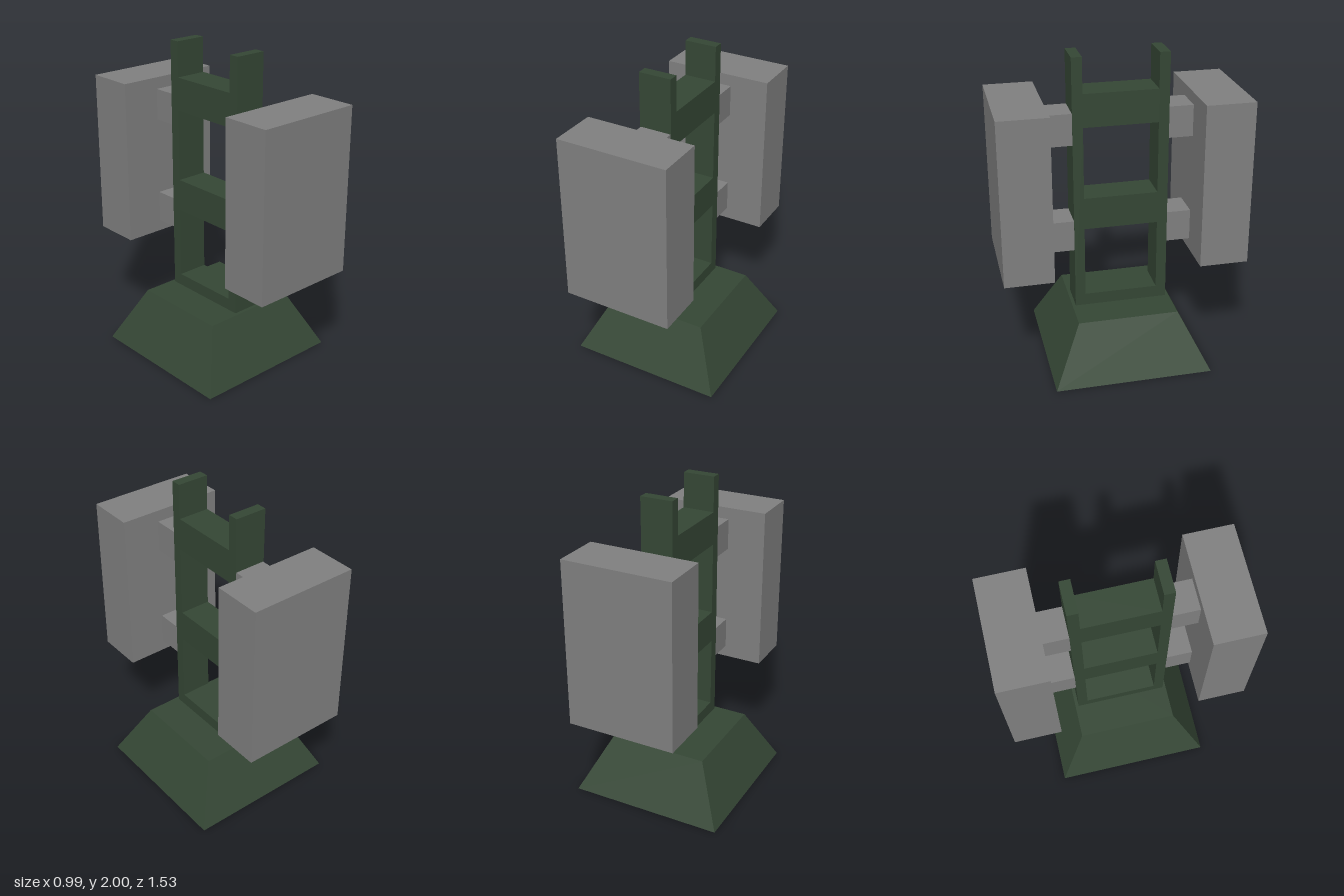
import * as THREE from 'three';

export function createModel() {
  const model = new THREE.Group();
  const green = new THREE.MeshStandardMaterial({ color: 0x354735 });
  green.name = 'darkGreen';
  const grey = new THREE.MeshStandardMaterial({ color: 0x808080 });
  grey.name = 'grey';

  const add = (name, geometry, material) => {
    const mesh = new THREE.Mesh(geometry, material);
    mesh.name = name;
    model.add(mesh);
    return mesh;
  };
  // Box from its lower and upper limits on each axis
  const block = (name, material, [x0, x1], [y0, y1], [z0, z1]) =>
    add(name, new THREE.BoxGeometry(x1 - x0, y1 - y0, z1 - z0), material)
      .position.set((x0 + x1) / 2, (y0 + y1) / 2, (z0 + z1) / 2);

  // Tapered base: a box with its top corners drawn inward
  const base = new THREE.BoxGeometry(0.994, 0.36, 0.996);
  const p = base.attributes.position;
  for (let i = 0; i < p.count; i++) {
    if (p.getY(i) > 0) p.setXYZ(i, Math.sign(p.getX(i)) * 0.319, 0.18, Math.sign(p.getZ(i)) * 0.319);
  }
  base.computeVertexNormals();
  add('base', base, green).position.set(0, 0.18, -0.008);

  // Upright frame: side outline (along -z, y) with two openings and an open top
  const outline = [[-0.29, 0.36], [0.305, 0.36], [0.305, 2], [0.24, 2],
    [0.24, 1.777], [-0.225, 1.777], [-0.225, 2], [-0.29, 2]];
  const frame = new THREE.Shape(outline.map(([s, y]) => new THREE.Vector2(s, y)));
  for (const [y0, y1] of [[0.438, 0.9], [1.107, 1.567]]) {
    const opening = [[-0.225, y0], [-0.225, y1], [0.24, y1], [0.24, y0]];
    frame.holes.push(new THREE.Path(opening.map(([s, y]) => new THREE.Vector2(s, y))));
  }
  const frameGeometry = new THREE.ExtrudeGeometry(frame, { depth: 0.205, bevelEnabled: false });
  frameGeometry.rotateY(Math.PI / 2).translate(-0.105, 0, 0);
  add('uprightFrame', frameGeometry, green);

  // Front and back panels, each on two brackets
  const sides = [
    { name: 'front', panel: [0.457, 0.765], bracket: [0.29, 0.457] },
    { name: 'back', panel: [-0.765, -0.457], bracket: [-0.457, -0.305] },
  ];
  for (const { name, panel, bracket } of sides) {
    block(name + 'Panel', grey, [-0.348, 0.346], [0.685, 1.735], panel);
    for (const y of [0.76, 1.46]) {
      block(name + 'Bracket', grey, [-0.1, 0.098], [y, y + 0.2], bracket);
    }
  }
  return model;
}
